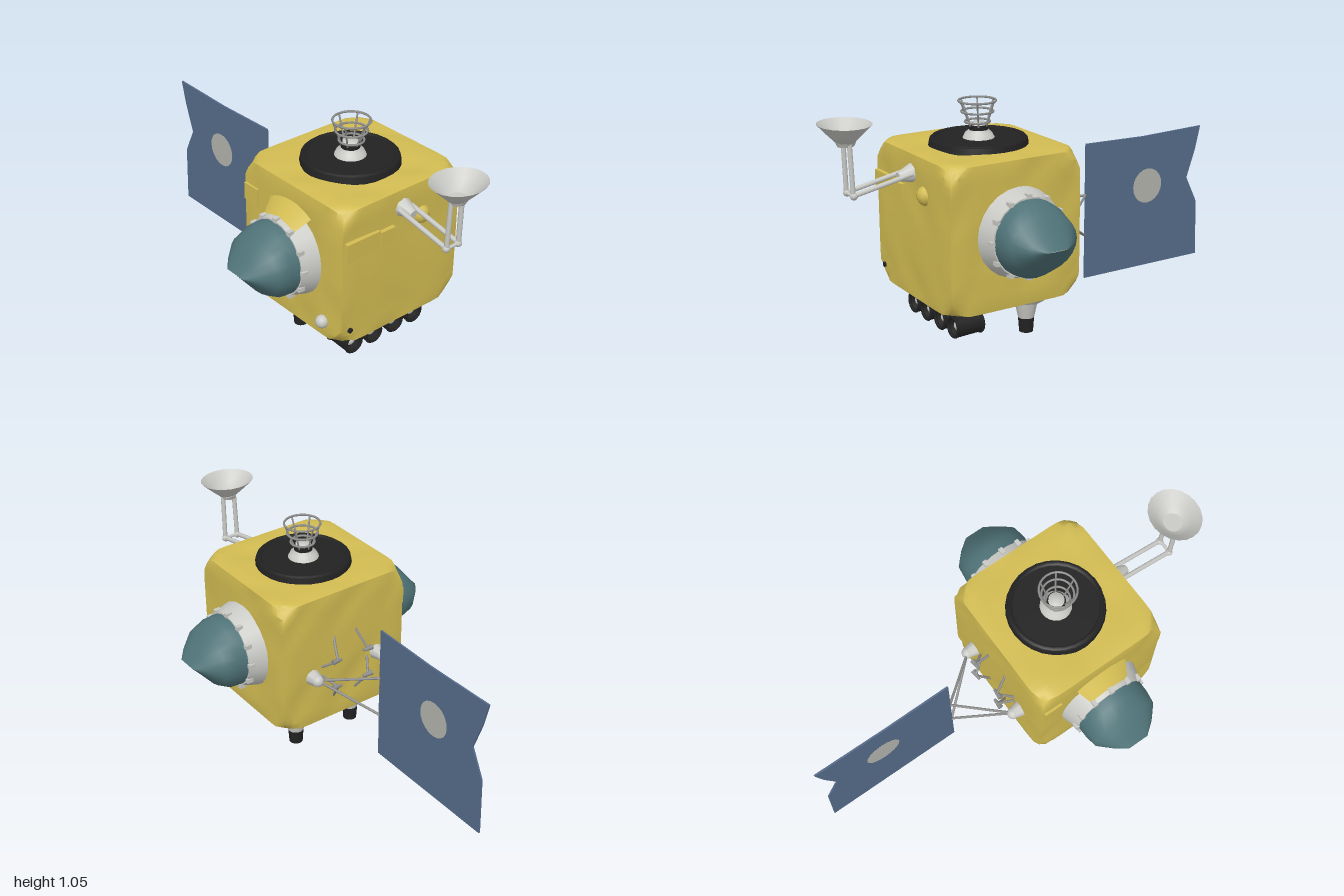
import * as THREE from 'three';
import { mergeVertices, toCreasedNormals } from 'three/addons/utils/BufferGeometryUtils.js';

const mat = (name, color, side = THREE.FrontSide) => {
  const m = new THREE.MeshStandardMaterial({ color, side });
  m.name = name;
  return m;
};

export function createModel() {
  const root = new THREE.Group();
  root.name = 'spaceProbe';
  const foil = mat('gold foil', 0xd2bc52);
  const teal = mat('teal dome', 0x4f7378);
  const white = mat('off white', 0xc9c9c5, THREE.DoubleSide);
  const black = mat('black', 0x222223, THREE.DoubleSide);
  const blue = mat('panel blue', 0x566b8a, THREE.DoubleSide);
  const grey = mat('panel grey', 0xb3b3ad, THREE.DoubleSide);
  const metal = mat('strut metal', 0x8e8e8c);

  const add = (name, geo, material, x = 0, y = 0, z = 0, parent = root) => {
    const m = new THREE.Mesh(geo, material);
    m.name = name;
    m.position.set(x, y, z);
    parent.add(m);
    return m;
  };
  const up = new THREE.Vector3(0, 1, 0);
  // Round bar between two points
  const bar = (name, a, b, r, material = metal, r2 = r) => {
    const p = new THREE.Vector3(...a), d = new THREE.Vector3(...b).sub(p);
    const m = add(name, new THREE.CylinderGeometry(r2, r, d.length(), 8), material);
    m.position.copy(p).addScaledVector(d, 0.5);
    m.quaternion.setFromUnitVectors(up, d.normalize());
    return m;
  };
  const CX = 0.265, CY = 0.53;

  // Crumpled foil body: blunted corners, softened edges, shallow dents
  let g = new THREE.BoxGeometry(2, 2, 2, 16, 16, 16);
  g.deleteAttribute('uv');
  g.deleteAttribute('normal');
  g = mergeVertices(g);
  const pos = g.attributes.position, half = new THREE.Vector3(0.326, 0.33, 0.336);
  const v = new THREE.Vector3();
  for (let i = 0; i < pos.count; i++) {
    v.fromBufferAttribute(pos, i);
    const s = Math.abs(v.x) + Math.abs(v.y) + Math.abs(v.z);
    if (s > 2.74) v.multiplyScalar(2.74 / s);
    const major = [v.x, v.y, v.z].filter((c) => Math.abs(c) > 0.99).length;
    if (major === 2) v.multiplyScalar(0.985);
    else if (major === 1) {
      const n = Math.sin(v.x * 5.1 + v.z * 3.3) * Math.sin(v.y * 4.7 - v.z * 4.1 + v.x * 2);
      v.multiplyScalar(1 - 0.022 * Math.max(0, n));
    }
    v.multiply(half);
    pos.setXYZ(i, v.x, v.y, v.z);
  }
  add('body', toCreasedNormals(g, 0.7), foil, CX, CY, 0);

  // Side foil pouches and lumps
  add('sidePouch', new THREE.BoxGeometry(0.04, 0.085, 0.18), foil, 0.585, 0.675, 0.23);
  add('sidePouchSmall', new THREE.BoxGeometry(0.05, 0.07, 0.08), foil, 0.585, 0.675, 0.1);
  const lump = new THREE.SphereGeometry(0.045, 10, 8);
  add('sideLump', lump, foil, 0.575, 0.695, -0.11);
  add('frontLump', new THREE.BoxGeometry(0.09, 0.08, 0.04), foil, 0, 0.7, 0.325);

  // Front and back tank domes, lofted from ellipses that close to a level ridge
  const rings = [[0.41, 0.17, 0.17], [0.47, 0.17, 0.164], [0.53, 0.163, 0.125], [0.59, 0.107, 0.052], [0.633, 0.05, 0.001]];
  const rows = rings.length - 1;
  const dome = new THREE.CylinderGeometry(1, 1, 1, 24, rows, true).rotateX(Math.PI / 2);
  const dp = dome.attributes.position;
  for (let i = 0; i < dp.count; i++) {
    const [z, rx, ry] = rings[Math.round((dp.getZ(i) + 0.5) * rows)];
    dp.setXYZ(i, dp.getX(i) * rx, dp.getY(i) * ry, z);
  }
  dome.computeVertexNormals();
  const collar = new THREE.CylinderGeometry(0.176, 0.205, 0.1, 24, 1).rotateX(Math.PI / 2);
  const skirt = new THREE.CylinderGeometry(0.185, 0.25, 0.07, 8, 1, true, Math.PI * 0.82, Math.PI * 0.36).rotateX(Math.PI / 2);
  for (const side of [1, -1]) {
    const tank = new THREE.Group();
    tank.name = side > 0 ? 'frontTank' : 'backTank';
    tank.position.set(0.26, 0.54, 0);
    if (side < 0) tank.rotation.y = Math.PI;
    root.add(tank);
    add('dome', dome, teal, 0, 0, 0, tank);
    add('collar', collar, white, 0, 0, 0.37, tank);
    if (side > 0) add('foilSkirt', skirt, foil, 0, 0, 0.365, tank);
    for (let k = 0; k < 12; k++) {
      const a = (k / 12) * Math.PI * 2;
      add('clip', new THREE.BoxGeometry(0.02, 0.02, 0.03), white, Math.cos(a) * 0.178, Math.sin(a) * 0.178, 0.41, tank);
    }
  }
  add('frontSensor', new THREE.SphereGeometry(0.03, 14, 10), white, 0.475, 0.287, 0.343);
  add('sidePort', new THREE.CylinderGeometry(0.012, 0.012, 0.008, 12).rotateZ(Math.PI / 2), black, 0.59, 0.275, 0.285);

  // Top disc with pedestal and open cage antenna
  const tx = 0.255;
  add('topDisc', new THREE.CylinderGeometry(0.215, 0.222, 0.035, 28), black, tx, 0.866, 0);
  add('topDiscRim', new THREE.TorusGeometry(0.2, 0.014, 6, 28).rotateX(Math.PI / 2), black, tx, 0.878, 0);
  add('pedestal', new THREE.LatheGeometry([[0.075, 0.875], [0.06, 0.905], [0.035, 0.925], [0.035, 0.95], [0, 0.95]]
    .map((p) => new THREE.Vector2(...p)), 18), white, tx, 0, 0);
  add('pedestalBand', new THREE.CylinderGeometry(0.042, 0.042, 0.025, 16), black, tx, 0.928, 0);
  for (const [r, y] of [[0.055, 0.955], [0.07, 1.0], [0.082, 1.047]])
    add('cageRing', new THREE.TorusGeometry(r, 0.005, 6, 24).rotateX(Math.PI / 2), metal, tx + 0.005, y, 0);
  for (let k = 0; k < 6; k++) {
    const c = Math.cos(k * Math.PI / 3), s = Math.sin(k * Math.PI / 3);
    bar('cageStrut', [tx + c * 0.04, 0.935, s * 0.04], [tx + 0.005 + c * 0.082, 1.047, s * 0.082], 0.004);
  }

  // Dish antenna on a twin bent arm
  const dish = add('dish', new THREE.LatheGeometry([[0.0, 0.94], [0.045, 0.945], [0.085, 0.98], [0.13, 1.022]]
    .map((p) => new THREE.Vector2(...p)), 20), white, 0.887, 0, 0);
  dish.scale.x = 0.86;
  add('dishHub', new THREE.CylinderGeometry(0.045, 0.035, 0.02, 12), white, 0.885, 0.938, 0);
  for (const z of [0.034, -0.034]) {
    bar('armLower', [0.6, 0.775, z], [0.87, 0.722, z], 0.011, white);
    bar('armUpper', [0.875, 0.715, z], [0.882, 0.945, z * 0.9], 0.011, white);
    add('armElbow', new THREE.SphereGeometry(0.017, 10, 8), white, 0.873, 0.72, z);
  }
  bar('armCross', [0.875, 0.72, -0.034], [0.875, 0.72, 0.034], 0.008, white);
  bar('armMount', [0.58, 0.772, 0], [0.65, 0.762, 0], 0.045, white, 0.02);

  // Solar panel with a notched outer edge and a round spot on both faces
  const outline = [[-0.318, 0.118], [-0.318, 0.775], [-0.65, 0.768], [-1, 0.777], [-0.972, 0.66], [-0.925, 0.525], [-0.99, 0.395], [-1, 0.118]];
  const shape = new THREE.Shape(outline.map((p) => new THREE.Vector2(...p)));
  add('solarPanel', new THREE.ExtrudeGeometry(shape, { depth: 0.008, bevelEnabled: false }), blue, 0, 0, -0.004);
  add('panelSpot', new THREE.CylinderGeometry(0.085, 0.085, 0.0096, 20).rotateX(Math.PI / 2), grey, -0.682, 0.52, 0);

  // Panel boom: mirrored struts, mounts and small thruster brackets
  for (const s of [1, -1]) {
    bar('boomMount', [-0.05, 0.465, 0.18 * s], [-0.105, 0.465, 0.18 * s], 0.04, white, 0.026);
    add('boomJoint', new THREE.SphereGeometry(0.028, 12, 8), white, -0.1, 0.465, 0.18 * s);
    bar('boomUpper', [-0.1, 0.468, 0.18 * s], [-0.32, 0.528, 0], 0.006);
    bar('boomLower', [-0.1, 0.468, 0.18 * s], [-0.32, 0.33, 0], 0.006);
    for (const d of [1, -1]) {
      const y = 0.475 + 0.07 * d;
      bar('bracketOuter', [-0.055, 0.475 + 0.16 * d, 0.06 * s], [-0.122, y, 0.085 * s], 0.006);
      bar('bracketInner', [-0.122, y, 0.085 * s], [-0.055, 0.475 + 0.02 * d, 0.13 * s], 0.006);
      bar('bracketNozzle', [-0.118, y, 0.06 * s], [-0.118, y, 0.11 * s], 0.006, metal, 0.013);
    }
  }

  // White underside plate with two nozzle legs
  const plate = add('underPlate', new THREE.CylinderGeometry(1, 0.88, 0.05, 14), white, 0.135, 0.195, 0);
  plate.scale.set(0.175, 1, 0.32);
  for (const z of [0.16, -0.16]) {
    add('legCone', new THREE.CylinderGeometry(0.062, 0.037, 0.12, 16), white, 0.112, 0.128, z);
    add('legFoot', new THREE.CylinderGeometry(0.037, 0.032, 0.07, 16), black, 0.112, 0.035, z);
  }

  // Row of four sideways thrusters hung under the body
  add('thrusterRail', new THREE.BoxGeometry(0.1, 0.02, 0.44), black, 0.435, 0.196, 0);
  for (const z of [0.18, 0.063, -0.063, -0.18]) {
    add('thrusterBell', new THREE.CylinderGeometry(0.049, 0.045, 0.13, 16, 1, true).rotateZ(-Math.PI / 2), black, 0.435, 0.108, z);
    for (const x of [0.372, 0.498])
      add('thrusterRim', new THREE.TorusGeometry(0.045, 0.007, 6, 18).rotateY(Math.PI / 2), black, x, 0.108, z);
    add('thrusterPlug', new THREE.CylinderGeometry(0.046, 0.046, 0.05, 16).rotateZ(Math.PI / 2), black, 0.435, 0.108, z);
    add('thrusterCore', new THREE.SphereGeometry(0.026, 12, 8), white, 0.466, 0.11, z);
    for (const x of [0.39, 0.48]) bar('thrusterStem', [x, 0.14, z], [x, 0.2, z], 0.014, black);
  }
  bar('probePin', [0.435, 0.12, 0], [0.435, 0.19, 0], 0.006, black);
  return root;
}
